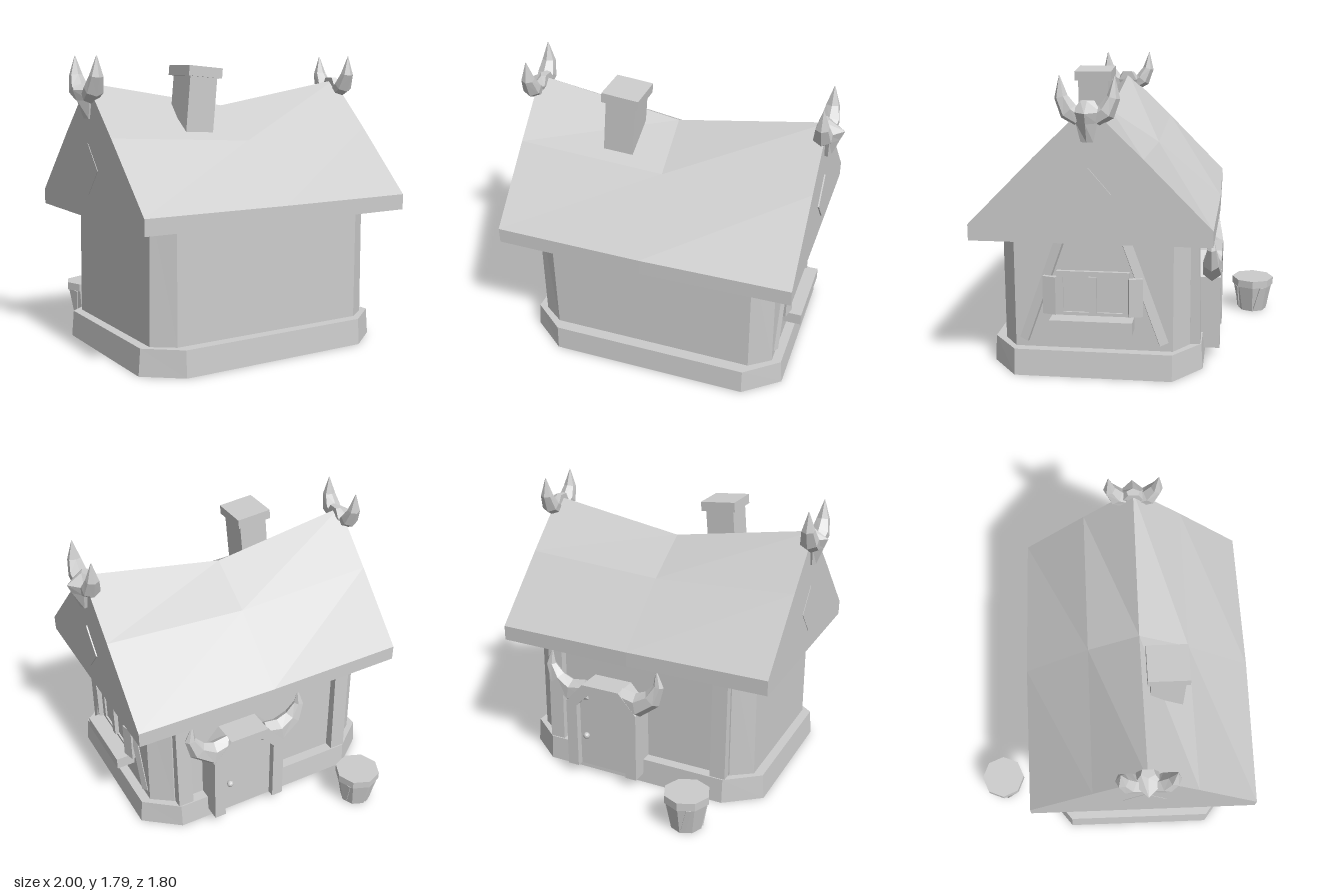
import * as THREE from 'three';

const stone = new THREE.MeshStandardMaterial({ color: 0xcccccc, flatShading: true, side: THREE.DoubleSide });
stone.name = 'plain grey';

const MID_Z = 0.185; // ridge line of the house

function add(parent, name, geometry, x = 0, y = 0, z = 0) {
  const mesh = new THREE.Mesh(geometry, stone);
  mesh.name = name;
  mesh.position.set(x, y, z);
  parent.add(mesh);
  return mesh;
}

function group(parent, name, x = 0, y = 0, z = 0, turn = 0) {
  const g = new THREE.Group();
  g.name = name;
  g.position.set(x, y, z);
  g.rotation.y = turn;
  parent.add(g);
  return g;
}

const box = (w, h, d) => new THREE.BoxGeometry(w, h, d);

// Skin convex rings (anticlockwise around the path). openSide leaves out the
// strip from last to first ring point, openStart leaves out the first cap.
function loft(rings, { openSide = false, openStart = false } = {}) {
  const pos = [];
  const tri = (...pts) => pts.forEach((p) => pos.push(...p));
  const n = rings[0].length;
  for (let r = 0; r < rings.length - 1; r++) {
    const a = rings[r], b = rings[r + 1];
    for (let i = 0; i < (openSide ? n - 1 : n); i++) {
      const j = (i + 1) % n;
      tri(a[i], a[j], b[i]);
      tri(a[j], b[j], b[i]);
    }
  }
  const first = rings[0], last = rings[rings.length - 1];
  for (let i = 1; i < n - 1; i++) {
    if (!openStart) tri(first[0], first[i + 1], first[i]);
    tri(last[0], last[i], last[i + 1]);
  }
  const g = new THREE.BufferGeometry();
  g.setAttribute('position', new THREE.Float32BufferAttribute(pos, 3));
  g.computeVertexNormals();
  return g;
}

// Rectangle with chamfered corners, at height y
function chamferRing(y, x, z, cx, cz) {
  return [[cx, z], [x, cz], [x, -cz], [cx, -z], [-cx, -z], [-x, -cz], [-x, cz], [-cx, z]]
    .map(([px, pz]) => [px, y, pz + MID_Z]);
}

// Horn following [x, y, radius] points; depth scales its z thickness
function horn(points, depth) {
  return loft(points.map(([x, y, r], i) => {
    const a = points[Math.max(i - 1, 0)], b = points[Math.min(i + 1, points.length - 1)];
    const t = new THREE.Vector2(b[0] - a[0], b[1] - a[1]).normalize();
    return Array.from({ length: 6 }, (_, k) => {
      const c = Math.cos(k * Math.PI / 3) * r, s = Math.sin(k * Math.PI / 3) * r * depth;
      return [x - t.y * c, y + t.x * c, s];
    });
  }));
}

function hornPair(parent, points, depth, z) {
  for (const side of [1, -1]) {
    add(parent, side > 0 ? 'leftHorn' : 'rightHorn', horn(points, depth), 0, 0, z).scale.x = side;
  }
}

function polygon(points, Type = THREE.Shape) {
  return new Type(points.map(([x, y]) => new THREE.Vector2(x, y)));
}

const extrude = (shape, depth) => new THREE.ExtrudeGeometry(shape, { depth, bevelEnabled: false });

// Arched outline with straight jambs
function arch(half, bottom, shoulder, topHalf, top) {
  return [[-half, bottom], [half, bottom], [half, shoulder], [topHalf, top], [-topHalf, top], [-half, shoulder]];
}

function addRoof(house) {
  // hollow shell, open underneath
  const section = (x, ridge, mid, reach) => [
    [0.84, -reach], [0.935, -reach], [mid, -0.31], [ridge, 0],
    [mid, 0.31], [0.935, reach], [0.84, reach],
  ].map(([y, z]) => [x, y, z + MID_Z]);
  add(house, 'roof', loft([
    section(-0.91, 1.63, 1.33, 0.7), section(0, 1.48, 1.28, 0.713), section(0.9, 1.63, 1.33, 0.7),
  ], { openSide: true }));

  const chimney = group(house, 'chimney', -0.302, 1.33, 0.325);
  chimney.rotation.z = -0.09;
  add(chimney, 'chimneyStack', box(0.185, 0.42, 0.2), 0, 0.125, 0.005);
  add(chimney, 'chimneyCap', box(0.228, 0.06, 0.243), 0, 0.363, 0.003);
}

// Horned head and diamond plate on each gable
function addGable(house, side) {
  const gable = group(house, side > 0 ? 'leftGable' : 'rightGable', side * 0.905, 0, MID_Z, side * Math.PI / 2);
  const diamond = polygon([[0, 0.98], [0.13, 1.13], [0, 1.28], [-0.13, 1.13]]);
  add(gable, 'gableDiamond', extrude(diamond, 0.008));
  const ring = (y, w, front, mid, back) =>
    [[0, front], [w, mid], [w * 0.8, back], [-w * 0.8, back], [-w, mid]].map(([x, z]) => [x, y, z]);
  add(gable, 'head', loft([
    ring(1.425, 0.035, 0.03, 0.015, -0.01), ring(1.53, 0.06, 0.07, 0.02, -0.03),
    ring(1.59, 0.08, 0.095, 0.02, -0.05), ring(1.648, 0.04, 0.0, -0.02, -0.05),
  ]));
  const hornZ = side > 0 ? -0.012 : 0.012;
  hornPair(gable, [[0.045, 1.55, 0.045], [0.105, 1.59, 0.054], [0.145, 1.67, 0.038], [0.152, 1.785, 0.002]], 1.1, hornZ);
}

// Window, half-turned shutters and leaning braces
function addWindow(house) {
  const win = group(house, 'window', 0.765, 0, MID_Z, Math.PI / 2);
  const frame = polygon([[-0.215, 0.335], [0.215, 0.335], [0.215, 0.64], [-0.215, 0.64]]);
  frame.holes.push(polygon([[-0.177, 0.39], [-0.177, 0.602], [0.177, 0.602], [0.177, 0.39]], THREE.Path));
  add(win, 'windowFrame', extrude(frame, 0.025), 0, 0, -0.005);
  add(win, 'windowPane', box(0.36, 0.22, 0.008), 0, 0.496, 0.004);
  add(win, 'windowMullion', box(0.045, 0.226, 0.04), 0, 0.498, 0.015);
  add(win, 'windowSill', box(0.485, 0.075, 0.13), 0, 0.333, 0.055);
  for (const side of [-1, 1]) {
    add(win, 'shutter', box(0.082, 0.23, 0.03), side * 0.252, 0.495, 0.028).rotation.y = side * 0.25;
    const brace = add(win, 'brace', box(0.055, 0.67, 0.035), side * 0.302, 0.52, -0.004);
    brace.rotation.set(0, side * 0.3, side * 0.345, 'ZYX');
  }
}

// Horned doorway at the back
function addDoor(house) {
  const door = group(house, 'doorway', 0.18, 0, -0.36, Math.PI);
  const frame = polygon(arch(0.25, 0.06, 0.52, 0.13, 0.655));
  frame.holes.push(polygon([
    [-0.175, 0.06], [-0.175, 0.5], [-0.09, 0.59], [0.09, 0.59], [0.175, 0.5], [0.175, 0.06],
  ], THREE.Path));
  // the jambs run down past the opening
  const outline = polygon([
    [-0.25, 0.06], [-0.175, 0.06], [-0.175, 0.5], [-0.09, 0.59], [0.09, 0.59], [0.175, 0.5],
    [0.175, 0.06], [0.25, 0.06], [0.25, 0.52], [0.13, 0.655], [-0.13, 0.655], [-0.25, 0.52],
  ]);
  add(door, 'doorFrame', extrude(outline, 0.19));
  add(door, 'doorPanel', extrude(polygon(arch(0.18, 0.06, 0.5, 0.09, 0.6)), 0.05), 0, 0, 0.095);
  add(door, 'doorKnob', new THREE.IcosahedronGeometry(0.022, 1), -0.125, 0.28, 0.16);
  hornPair(door, [[0.12, 0.6, 0.07], [0.24, 0.575, 0.08], [0.34, 0.64, 0.062], [0.385, 0.735, 0.035], [0.37, 0.84, 0.002]], 0.8, 0.135);
}

function addBarrel(parent) {
  const barrel = group(parent, 'barrel', -0.522, 0, -0.755);
  add(barrel, 'barrelBody', new THREE.CylinderGeometry(0.135, 0.098, 0.19, 8), 0, 0.095, 0);
  add(barrel, 'barrelRim', new THREE.CylinderGeometry(0.143, 0.143, 0.05, 8), 0, 0.207, 0);
  // leaning staves
  for (let i = 0; i < 4; i++) {
    const a = i * Math.PI / 2 + Math.PI / 8;
    const stave = add(barrel, 'stave', box(0.03, 0.17, 0.012), Math.sin(a) * 0.11, 0.097, Math.cos(a) * 0.11);
    stave.rotation.set(0.18, a, -0.2, 'YXZ');
  }
}

export function createModel() {
  const house = new THREE.Group();
  house.name = 'house';

  // hollow foundation, its top doubling as the floor
  add(house, 'foundation', loft([
    chamferRing(0, 0.837, 0.64, 0.62, 0.47), chamferRing(0.16, 0.824, 0.63, 0.62, 0.468),
  ], { openStart: true }));
  add(house, 'walls', loft([
    chamferRing(0.16, 0.766, 0.562, 0.637, 0.47), chamferRing(0.98, 0.76, 0.562, 0.637, 0.47),
  ], { openStart: true }));
  // upright posts on the back wall
  for (const side of [-1, 1]) {
    add(house, 'backPost', box(0.1, 0.8, 0.07), side * 0.58, 0.56, -0.395).rotation.x = 0.02;
  }

  addRoof(house);
  addGable(house, 1);
  addGable(house, -1);
  addWindow(house);
  addDoor(house);
  addBarrel(house);
  return house;
}
